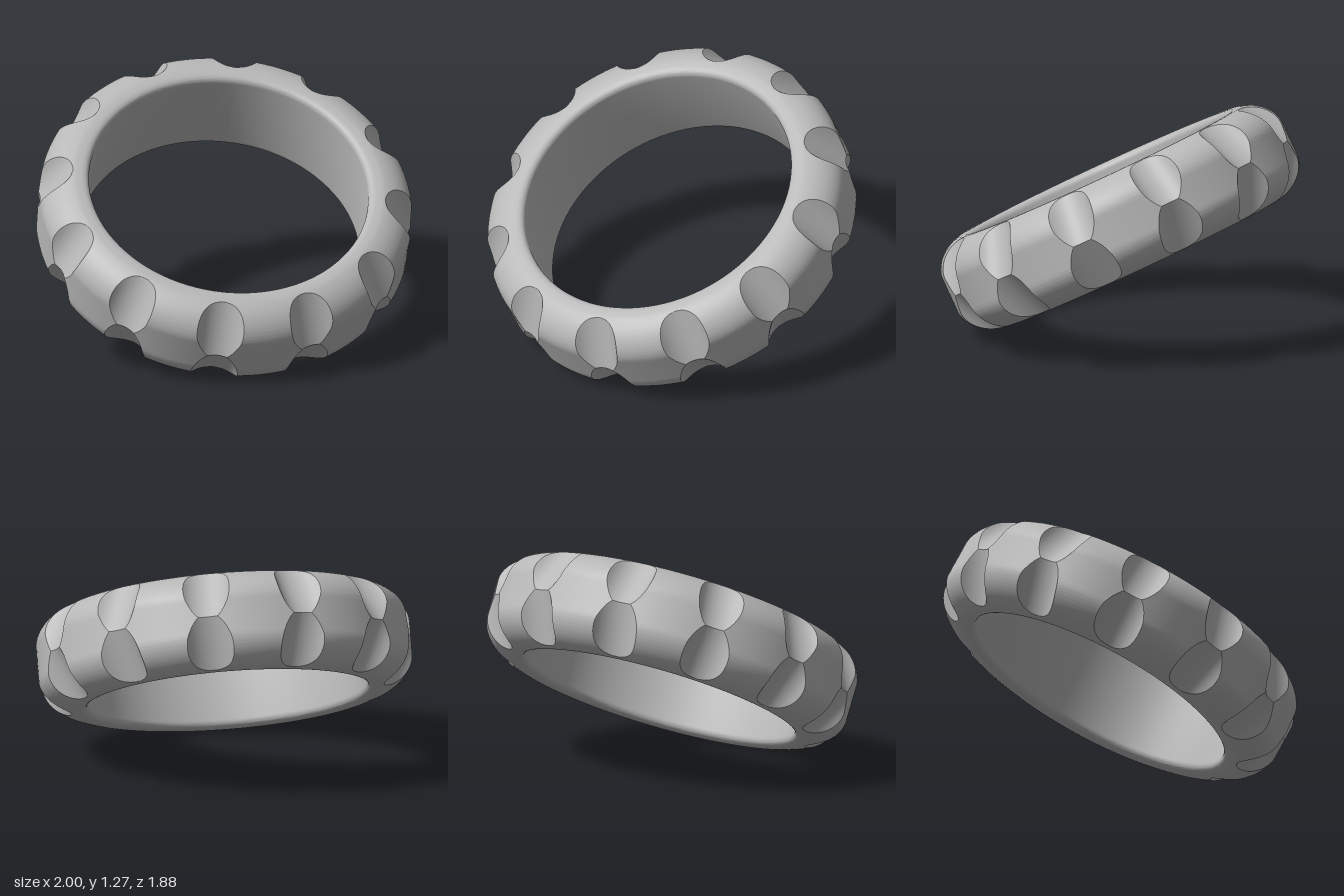
import * as THREE from 'three';
import { toCreasedNormals } from 'three/addons/utils/BufferGeometryUtils.js';

const SCALLOPS = 12;
const V = (x, y) => new THREE.Vector2(x, y);

// Closed cross-section as (radius, height): upper half, then its mirror image
function ringProfile() {
  const half = [
    ...new THREE.LineCurve(V(1, 0), V(1, 0.1)).getPoints(8),
    ...new THREE.CubicBezierCurve(V(1, 0.1), V(0.995, 0.17), V(0.93, 0.245), V(0.83, 0.265)).getPoints(30).slice(1),
    V(0.815, 0.265),
    ...new THREE.QuadraticBezierCurve(V(0.8, 0.265), V(0.75, 0.265), V(0.75, 0.225)).getPoints(8),
    V(0.75, 0),
  ];
  const lower = half.slice(0, -1).reverse().map((p) => V(p.x, -p.y));
  return [...half, ...lower];
}

// Cylindrical groove whose floor line runs from mid rim to the edge of the face
const FLOOR = V(0.988, 0), END = V(0.838, 0.265), GROOVE_R = 0.15;
const NORMAL = V(END.y - FLOOR.y, FLOOR.x - END.x).normalize();

// How far a surface point lies inside the groove
function grooveDepth(r, h, a) {
  const t = r * Math.sin(a);
  const s = (r * Math.cos(a) - FLOOR.x) * NORMAL.x + (h - FLOOR.y) * NORMAL.y;
  return s - GROOVE_R + Math.sqrt(Math.max(0, GROOVE_R * GROOVE_R - t * t));
}

// Half angle at which the groove meets the surface on one row
function grooveEdge(r, h) {
  if (r < 0.8 || grooveDepth(r, h, 0) <= 0) return 0;
  let lo = 0, hi = 0.24;
  for (let i = 0; i < 30; i++) {
    const mid = (lo + hi) / 2;
    if (grooveDepth(r, h, mid) > 0) lo = mid; else hi = mid;
  }
  return lo;
}

function scallopedRing() {
  const rows = ringProfile();
  const IN = 18, OUT = 8, COLS = SCALLOPS * (IN + OUT);
  const step = (Math.PI * 2) / SCALLOPS;
  const pos = [], index = [];
  for (const { x: r, y } of rows) {
    const h = Math.abs(y), side = y < 0 ? -1 : 1;
    const edge = grooveEdge(r, h), w = Math.max(edge, 0.012);
    for (let k = 0; k < SCALLOPS; k++) {
      const centre = (k + 0.5) * step;
      for (let i = 0; i < IN + OUT; i++) {
        // columns follow the groove outline so its edge stays crisp
        const a = i <= IN ? -w + (2 * w * i) / IN : w + ((step - 2 * w) * (i - IN)) / OUT;
        let u = r * Math.cos(a), v = h;
        const t = r * Math.sin(a);
        if (edge > 0 && i > 0 && i < IN) {
          const dir = V(r - 0.8, h).normalize();
          const move = grooveDepth(r, h, a) / dir.dot(NORMAL);
          u -= dir.x * move;
          v -= dir.y * move;
        }
        const c = Math.cos(centre), s = Math.sin(centre);
        pos.push(u * s + t * c, v * side, u * c - t * s);
      }
    }
  }
  for (let j = 0; j < rows.length - 1; j++) {
    for (let i = 0; i < COLS; i++) {
      const n = (i + 1) % COLS;
      const a = j * COLS + i, b = j * COLS + n, c = a + COLS, d = b + COLS;
      index.push(a, b, d, a, d, c);
    }
  }
  const geo = new THREE.BufferGeometry();
  geo.setAttribute('position', new THREE.Float32BufferAttribute(pos, 3));
  geo.setIndex(index);
  return toCreasedNormals(geo, 0.3);
}

export function createModel() {
  const group = new THREE.Group();
  group.name = 'scallopedRing';
  const metal = new THREE.MeshStandardMaterial({ color: 0xb8b8b8 });
  metal.name = 'grey metal';

  // Ring leaning back-high, front-low
  const ring = new THREE.Mesh(scallopedRing(), metal);
  ring.name = 'ringBand';
  ring.rotation.set(THREE.MathUtils.degToRad(28), THREE.MathUtils.degToRad(1.4), 0);
  ring.position.y = 0.632;
  group.add(ring);
  return group;
}
